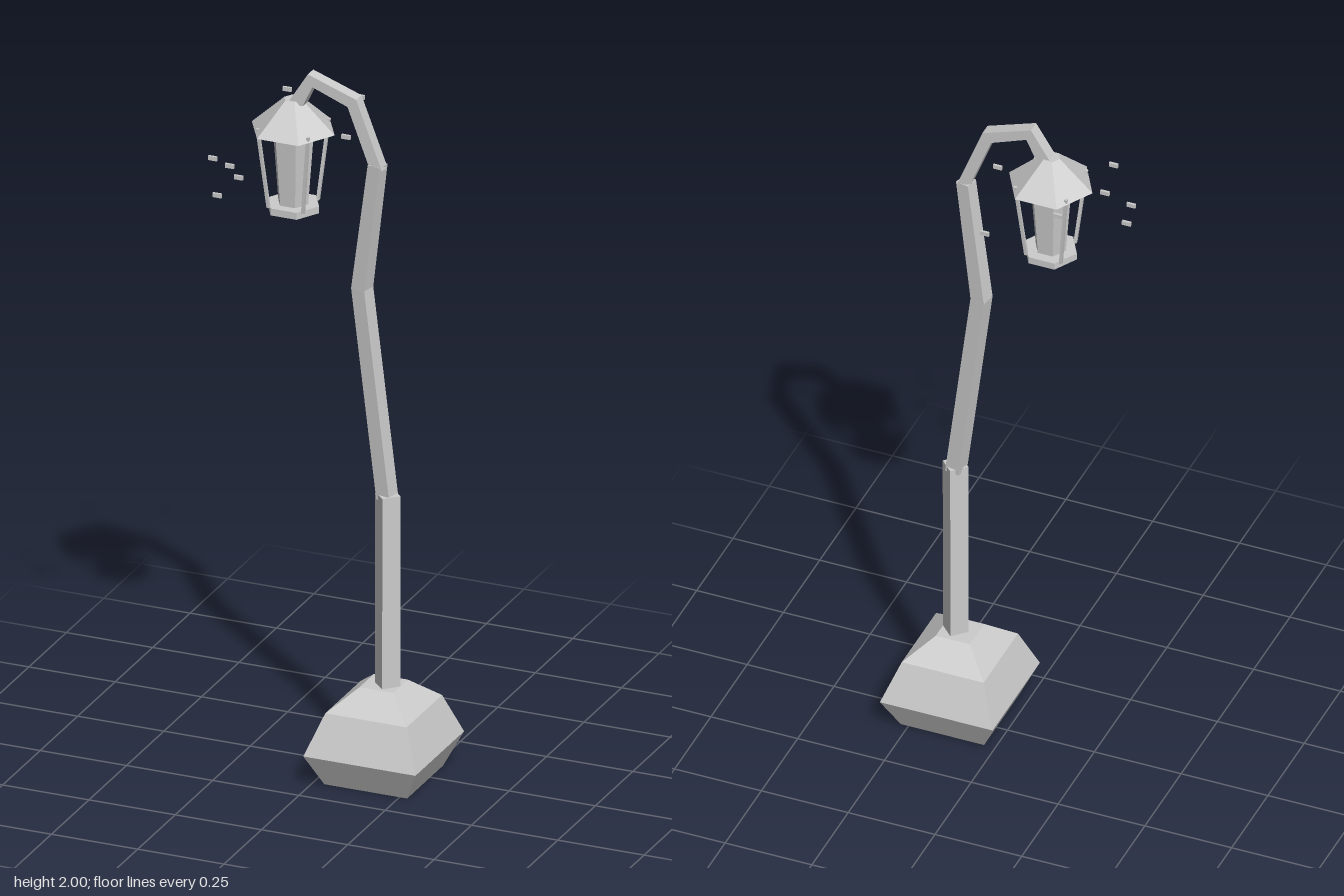
import * as THREE from 'three';

const DIAG = Math.SQRT2; // half width of a square -> radius of its corners

// Closed faceted solid through horizontal n-sided rings [x, y, z, radius], bottom to top
function stack(n, turn, rings) {
  const pos = [];
  const at = ([x, y, z, r], i) => {
    const a = turn + (i / n) * Math.PI * 2;
    return [x + r * Math.cos(a), y, z + r * Math.sin(a)];
  };
  const first = rings[0], last = rings[rings.length - 1];
  for (let i = 0; i < n; i++) {
    for (let k = 0; k < rings.length - 1; k++) {
      const b0 = at(rings[k], i), b1 = at(rings[k], i + 1);
      const t0 = at(rings[k + 1], i), t1 = at(rings[k + 1], i + 1);
      pos.push(...b0, ...t0, ...b1, ...b1, ...t0, ...t1);
    }
    pos.push(...first.slice(0, 3), ...at(first, i), ...at(first, i + 1));
    pos.push(...last.slice(0, 3), ...at(last, i + 1), ...at(last, i));
  }
  const g = new THREE.BufferGeometry();
  g.setAttribute('position', new THREE.Float32BufferAttribute(pos, 3));
  g.computeVertexNormals();
  return g;
}

export function createModel() {
  const model = new THREE.Group();
  model.name = 'streetLamp';
  const grey = new THREE.MeshStandardMaterial({ color: 0xcccccc, flatShading: true });
  grey.name = 'pale grey';
  const add = (name, geometry, parent = model) => {
    const mesh = new THREE.Mesh(geometry, grey);
    mesh.name = name;
    parent.add(mesh);
    return mesh;
  };

  // Square stone foot
  const foot = [[0, 0.12], [0.09, 0.1625], [0.205, 0.118], [0.265, 0.049]];
  add('foot', stack(4, Math.PI / 4, foot.map(([y, h]) => [0.152, y, 0.035, h * DIAG])));

  // Crooked post: a diagonal lower part and two slightly twisted upper parts
  add('lowerPost', stack(4, 0, [[0.164, 0.25, 0.036, 0.037], [0.164, 0.815, 0.034, 0.037]]));
  const twist = Math.PI / 4 + 0.2;
  add('middlePost', stack(4, twist, [[0.161, 0.8, 0.031, 0.03], [0.085, 1.4, 0.025, 0.03]]));
  add('upperPost', stack(4, twist, [[0.085, 1.395, 0.025, 0.03], [0.134, 1.765, 0.034, 0.027]]));

  // Curved arm reaching over to the lantern
  const outline = [
    [0.155, 1.755], [0.08, 1.95], [-0.06, 2], [-0.12, 1.905],
    [-0.075, 1.905], [-0.047, 1.965], [0.055, 1.925], [0.114, 1.77],
  ].map(([x, y]) => new THREE.Vector2(x, y));
  const arm = new THREE.ExtrudeGeometry(new THREE.Shape(outline), { depth: 0.036, bevelEnabled: false });
  add('arm', arm.translate(0, 0, 0.017));

  // Six-sided lantern
  const lantern = new THREE.Group();
  lantern.name = 'lantern';
  lantern.position.set(-0.11, 0, 0.035);
  model.add(lantern);
  add('roof', stack(6, 0, [[0, 1.828, 0, 0.12], [0, 1.915, 0, 0.026]]), lantern);
  add('glass', stack(6, 0, [[0, 1.61, 0, 0.043], [0, 1.83, 0, 0.06]]), lantern);
  add('lanternBase', stack(6, 0, [[0, 1.595, 0, 0.075], [0, 1.615, 0, 0.075]]), lantern);
  for (const sx of [-1, 1]) for (const sz of [-1, 1]) {
    add('lanternBar', stack(4, Math.PI / 4, [
      [sx * 0.05, 1.61, sz * 0.05, 0.006], [sx * 0.073, 1.842, sz * 0.07, 0.006],
    ]), lantern);
  }

  // Small flies circling the light
  const flies = [
    [-0.2, 1.86, -0.132], [-0.033, 1.825, -0.235], [-0.303, 1.745, 0.128], [-0.276, 1.655, 0.16],
    [-0.207, 1.725, 0.176], [-0.209, 1.78, 0.231], [0.045, 1.832, 0.04],
  ];
  const flyShape = new THREE.BoxGeometry(0.025, 0.012, 0.007);
  for (const p of flies) add('fly', flyShape).position.set(...p);

  return model;
}
